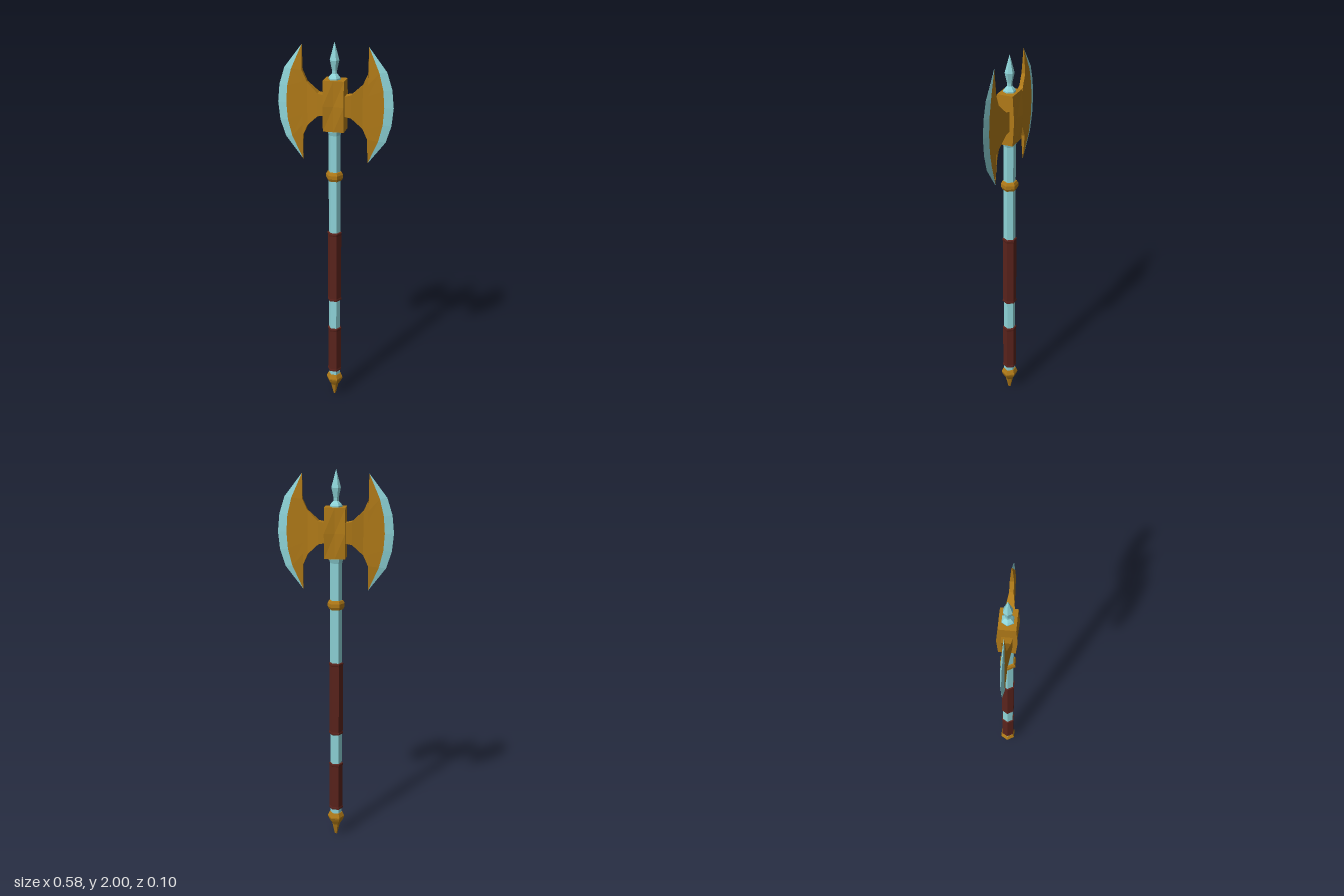
import * as THREE from 'three';

const mat = (color) => new THREE.MeshStandardMaterial({ color, flatShading: true });
const steel = mat(0x8fd6da), gold = mat(0xb07a18), leather = mat(0x5a231c);
const HEAD_Y = 1.688;

function add(parent, name, geometry, material) {
  const mesh = new THREE.Mesh(geometry, material);
  mesh.name = name;
  parent.add(mesh);
  return mesh;
}

// Six-sided turned part with corners on the x axis; profile is [radius, y] from bottom to top
function turned(profile) {
  const geo = new THREE.LatheGeometry(profile.map(([r, y]) => new THREE.Vector2(r, y)), 6);
  return geo.rotateY(Math.PI / 6).translate(-0.003, 0, 0);
}

// Grip wrap with a small lip at both ends
function grip(y0, y1) {
  return turned([[0.03, y0], [0.038, y0 + 0.004], [0.038, y0 + 0.012], [0.036, y0 + 0.018],
    [0.036, y1 - 0.018], [0.038, y1 - 0.012], [0.038, y1 - 0.004], [0.03, y1]]);
}

// Double-sided plate made from columns of [x, y, z] points; z is the half thickness
function plate(columns) {
  const pos = [];
  const quad = (a, b, c, d) => pos.push(...a, ...b, ...c, ...a, ...c, ...d);
  const back = ([x, y, z]) => [x, y, -z];
  for (let i = 0; i < columns.length - 1; i++) {
    const p = columns[i], q = columns[i + 1], n = p.length - 1;
    for (let j = 0; j < n; j++) {
      quad(p[j], q[j], q[j + 1], p[j + 1]);
      quad(back(p[j + 1]), back(q[j + 1]), back(q[j]), back(p[j]));
    }
    quad(p[0], back(p[0]), back(q[0]), q[0]);
    quad(p[n], q[n], back(q[n]), back(p[n]));
  }
  const geo = new THREE.BufferGeometry();
  geo.setAttribute('position', new THREE.Float32BufferAttribute(pos, 3));
  geo.computeVertexNormals();
  return geo;
}

// Seven evenly spaced points on a straight column
const column = (x, half, z) =>
  Array.from({ length: 7 }, (_, j) => [x, (j / 3 - 1) * half, z]);

// Curved column mirrored about its middle; points run from the middle to the upper tip
const curved = (pts) =>
  [...pts.slice(1).reverse().map(([x, y, z]) => [x, -y, z]), ...pts];

function createBlade(name) {
  const blade = new THREE.Group();
  blade.name = name;
  const bevel = curved([[0.247, 0, 0.01], [0.241, 0.085, 0.01], [0.22, 0.17, 0.009], [0.166, 0.292, 0.001]]);
  const edge = curved([[0.292, 0, 0], [0.283, 0.09, 0], [0.256, 0.175, 0], [0.166, 0.292, 0]]);
  add(blade, 'bladeBody', plate([
    column(0.045, 0.049, 0.027), column(0.085, 0.058, 0.022),
    column(0.14, 0.11, 0.01), column(0.165, 0.165, 0.01), bevel,
  ]), gold);
  add(blade, 'cuttingEdge', plate([bevel, edge]), steel);
  blade.position.y = HEAD_Y;
  return blade;
}

export function createModel() {
  const axe = new THREE.Group();
  axe.name = 'doubleAxe';

  // Shaft with a flared collar under the head
  add(axe, 'shaft', turned([[0.031, 0.12], [0.031, 1.535], [0.037, 1.555], [0.037, 1.57]]), steel);
  add(axe, 'lowerGrip', grip(0.16, 0.437), leather);
  add(axe, 'upperGrip', grip(0.603, 1.008), leather);
  add(axe, 'shaftRing', turned([[0.03, 1.293], [0.037, 1.295], [0.044, 1.309],
    [0.044, 1.327], [0.037, 1.341], [0.03, 1.343]]), gold);
  add(axe, 'pommel', turned([[0, 0], [0.007, 0.003], [0.021, 0.065], [0.037, 0.09],
    [0.045, 0.108], [0.045, 0.115], [0.035, 0.138], [0, 0.138]]), gold);

  // Head block: its four corners bulge at mid height
  const block = new THREE.BoxGeometry(0.106, 0.256, 0.082, 2, 2, 1);
  const p = block.attributes.position;
  for (let i = 0; i < p.count; i++) {
    if (Math.abs(p.getY(i)) < 0.01 && Math.abs(p.getX(i)) > 0.01) {
      p.setZ(i, Math.sign(p.getZ(i)) * 0.049);
    }
  }
  block.computeVertexNormals();
  add(axe, 'headBlock', block, gold).position.y = HEAD_Y;

  // Top spike on its collar
  add(axe, 'topSpike', turned([[0.031, 1.8], [0.031, 1.823], [0.024, 1.833], [0.013, 1.845],
    [0.013, 1.86], [0.024, 1.91], [0, 2]]), steel);

  // Mirrored blades
  const left = createBlade('leftBlade');
  const right = createBlade('rightBlade');
  right.rotation.y = Math.PI;
  axe.add(left, right);
  return axe;
}
